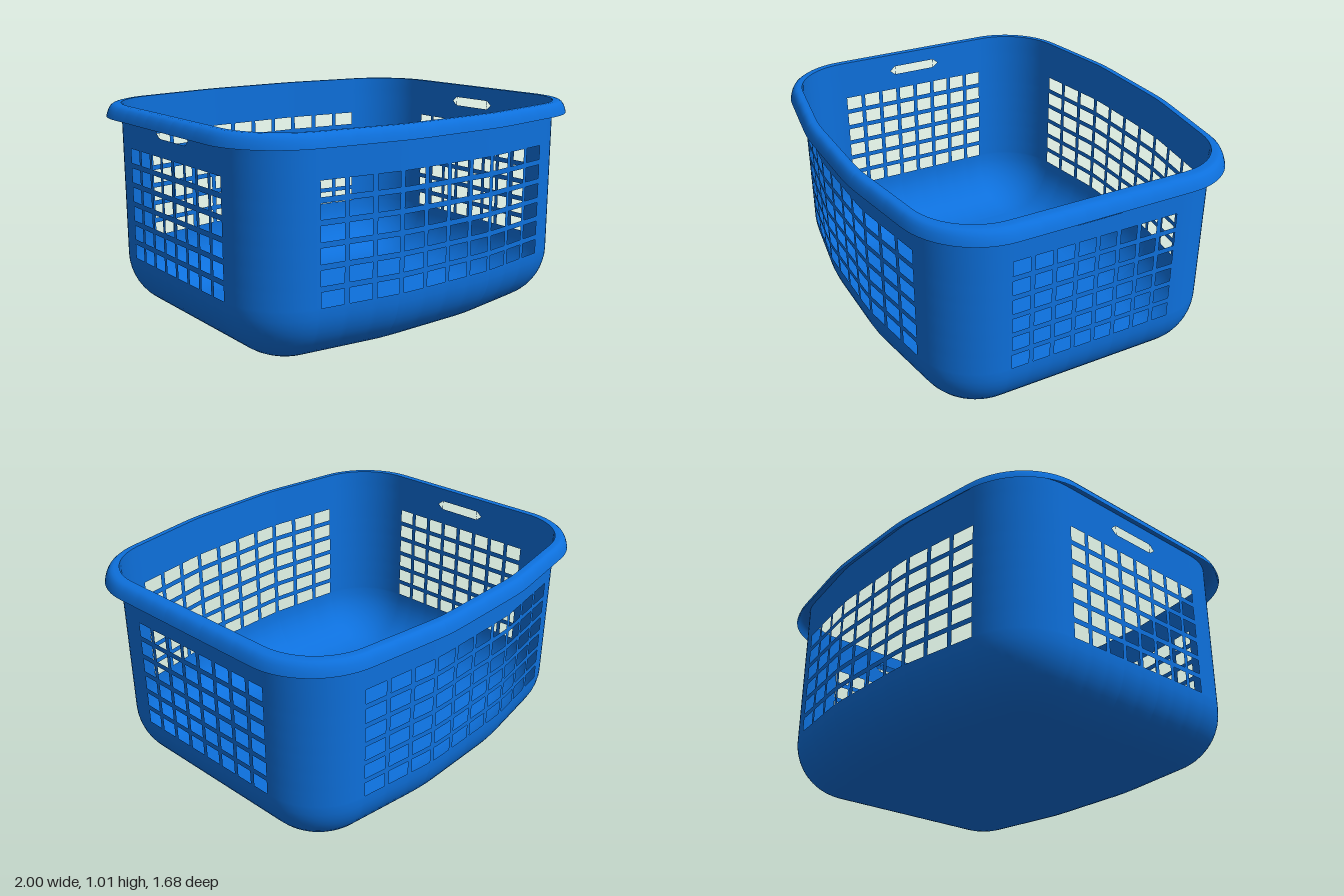
import * as THREE from 'three';

const BEND = 0.1495;                       // slope of the bowed long walls
const ROWS = { first: 0.28, pitch: 0.0934, size: 0.068, count: 6 };
const FRONT = { pitch: 0.1335, size: 0.109, count: 5 };   // columns per half wall
const SIDE = { pitch: 0.1035, size: 0.081, count: 4 };
const GRIP = { inner: 0.11, outer: 0.142, low: 0.9, mid: 0.9225, high: 0.946 };

const edges = (g) => {
  const list = [];
  for (let k = 0; k < g.count; k++) {
    const c = (k + 0.5) * g.pitch;
    list.push(c - g.size / 2, c + g.size / 2);
  }
  return list;
};
const inColumn = (v, g) => {
  const k = Math.floor(v / g.pitch);
  return k < g.count && Math.abs(v - (k + 0.5) * g.pitch) < g.size / 2;
};
const inRow = (y) => {
  const k = Math.floor((y - ROWS.first) / ROWS.pitch);
  return k >= 0 && k < ROWS.count && y - ROWS.first - k * ROWS.pitch < ROWS.size;
};

// Long wall: flat middle, gentle bend, then a straight slant
function frontPoint(x) {
  if (x < 0.18) return { x, z: 0.78, nx: 0, nz: 1 };
  if (x < 0.328) {
    const nx = x - 0.18, nz = Math.sqrt(1 - nx * nx);
    return { x, z: nz - 0.22, nx, nz };
  }
  const l = Math.hypot(1, BEND);
  return { x, z: 0.72 + BEND * (0.655 - x), nx: BEND / l, nz: 1 / l };
}

// Plan outline: one quarter, mirrored to a closed ring
function outline() {
  const q = [...edges(SIDE), GRIP.inner, GRIP.outer].sort((a, b) => a - b)
    .map((z) => ({ x: 0.925, z, nx: 1, nz: 0, part: 'side' }));
  const end = Math.PI / 2 - Math.atan(BEND), steps = 14;
  for (let i = 0; i <= steps; i++) {
    const a = (end * i) / steps, nx = Math.cos(a), nz = Math.sin(a);
    q.push({ x: 0.625 + 0.3 * nx, z: 0.421 + 0.3 * nz, nx, nz });
  }
  [...edges(FRONT), 0.18, 0.23, 0.28, 0.328].sort((a, b) => b - a)
    .forEach((x) => q.push({ ...frontPoint(x), part: 'front' }));
  const flip = (list, sx, sz) => list.map((p) => ({ ...p, x: p.x * sx, z: p.z * sz, nx: p.nx * sx, nz: p.nz * sz }));
  const r = [...q].reverse();
  return [...q, ...flip(r, -1, 1), ...flip(q, -1, -1), ...flip(r, 1, -1)];
}

// Sweeps a profile of [offset, y] around the ring; cut() may drop cell corners
function sweep(ring, profile, zScale, cut) {
  const pos = [], index = [], n = ring.length;
  for (const [d, y] of profile)
    for (const p of ring) pos.push(p.x + p.nx * d, y, p.z + p.nz * d * zScale);
  for (let j = 0; j < profile.length - 1; j++) {
    for (let i = 0; i < n; i++) {
      const k = (i + 1) % n;
      let cell = [[i, j], [i, j + 1], [k, j + 1], [k, j]];
      if (cut) cell = cut(cell, ring[i], ring[k], profile[j][1], profile[j + 1][1]);
      const v = cell.map(([a, b]) => b * n + a);
      for (let t = 2; t < v.length; t++) index.push(v[0], v[t - 1], v[t]);
    }
  }
  const g = new THREE.BufferGeometry();
  g.setAttribute('position', new THREE.Float32BufferAttribute(pos, 3));
  g.setIndex(index);
  g.computeVertexNormals();
  return g;
}

export function createModel() {
  const group = new THREE.Group();
  const blue = new THREE.MeshStandardMaterial({ color: 0x0d70dc, side: THREE.DoubleSide });
  blue.name = 'blue plastic';
  const add = (name, geometry) => {
    const mesh = new THREE.Mesh(geometry, blue);
    mesh.name = name;
    group.add(mesh);
  };
  const ring = outline();

  // Wall profile: rounded foot, then levels at every window and grip edge
  const radius = 0.27, profile = [];
  for (let i = 0; i <= 12; i++) {
    const a = (Math.PI / 2) * (i / 12);
    profile.push([-radius * (1 - Math.sin(a)), radius * (1 - Math.cos(a))]);
  }
  for (let r = 0; r < ROWS.count; r++) {
    const y = ROWS.first + r * ROWS.pitch;
    profile.push([0, y], [0, y + ROWS.size]);
  }
  [GRIP.low, GRIP.mid, GRIP.high, 1.015].forEach((y) => profile.push([0, y]));

  // Window grids and the pointed hand grips
  const cut = (cell, p, q, y0, y1) => {
    if (!p.part || p.part !== q.part) return cell;
    const side = p.part === 'side', y = (y0 + y1) / 2;
    const m = Math.abs(side ? p.z + q.z : p.x + q.x) / 2;
    if (inRow(y) && inColumn(m, side ? SIDE : FRONT)) return [];
    if (side && y > GRIP.low && y < GRIP.high) {
      if (m < GRIP.inner) return [];
      if (m < GRIP.outer) {
        const nearFirst = Math.abs(p.z) < Math.abs(q.z), lower = y < GRIP.mid;
        const drop = nearFirst ? (lower ? 1 : 0) : (lower ? 2 : 3);
        return cell.filter((_, i) => i !== drop);
      }
    }
    return cell;
  };
  add('basketWall', sweep(ring, profile, 1, cut));

  // Flat floor
  const floor = new THREE.Shape(ring.map((p) => new THREE.Vector2(p.x - p.nx * radius, p.z - p.nz * radius)));
  add('floor', new THREE.ShapeGeometry(floor).rotateX(Math.PI / 2));

  // Rolled rim, open underneath
  const lip = [[0.075, 0.955], [0.07, 0.972], [0.062, 0.99], [0.052, 1.004], [0.04, 1.012], [0.026, 1.015], [0, 1.015]];
  add('rim', sweep(ring, lip, 0.8));

  return group;
}
